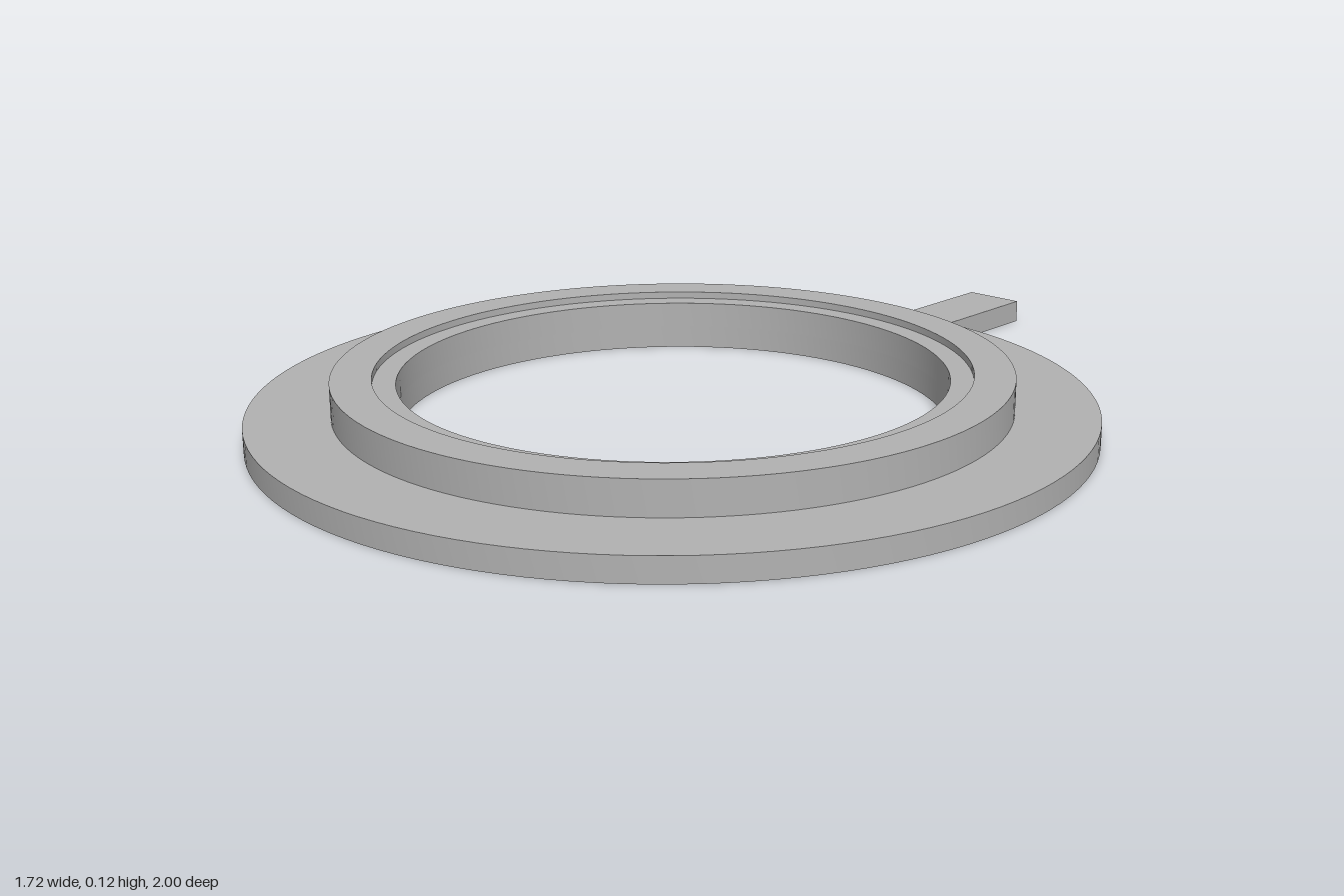
import * as THREE from 'three';
import { toCreasedNormals } from 'three/addons/utils/BufferGeometryUtils.js';

const CENTRE_Z = 0.14;
const FLANGE_R = 0.86, FLANGE_H = 0.05;
const BORE_R = 0.56;
const COLLAR_R = 0.69, COLLAR_H = 0.12;
const RECESS_R = 0.607, LEDGE_H = 0.105;
const TAB_HALF = 0.068, TAB_END = 1.14;

export function createModel() {
  const group = new THREE.Group();
  const grey = new THREE.MeshStandardMaterial({ color: 0xb2b2b2 });
  grey.name = 'plain grey';

  const add = (name, geometry) => {
    const mesh = new THREE.Mesh(toCreasedNormals(geometry, 0.5), grey);
    mesh.name = name;
    mesh.position.z = CENTRE_Z;
    group.add(mesh);
  };

  // Flat flange and its rear tab, one outline with the bore cut out
  const a = Math.asin(TAB_HALF / FLANGE_R);
  const outline = new THREE.Shape();
  outline.absarc(0, 0, FLANGE_R, Math.PI / 2 + a, Math.PI * 2.5 - a, false);
  outline.lineTo(TAB_HALF, TAB_END);
  outline.lineTo(-TAB_HALF, TAB_END);
  outline.closePath();
  const bore = new THREE.Path();
  bore.absarc(0, 0, BORE_R, 0, Math.PI * 2, true);
  outline.holes.push(bore);
  const flange = new THREE.ExtrudeGeometry(outline, {
    depth: FLANGE_H, bevelEnabled: false, curveSegments: 64,
  });
  flange.rotateX(-Math.PI / 2);
  add('flangeWithTab', flange);

  // Raised collar with a shallow recess around the bore
  const profile = [
    [COLLAR_R, FLANGE_H], [COLLAR_R, COLLAR_H], [RECESS_R, COLLAR_H],
    [RECESS_R, LEDGE_H], [BORE_R, LEDGE_H], [BORE_R, FLANGE_H],
  ].map(([r, y]) => new THREE.Vector2(r, y));
  add('collar', new THREE.LatheGeometry(profile, 128));

  return group;
}
